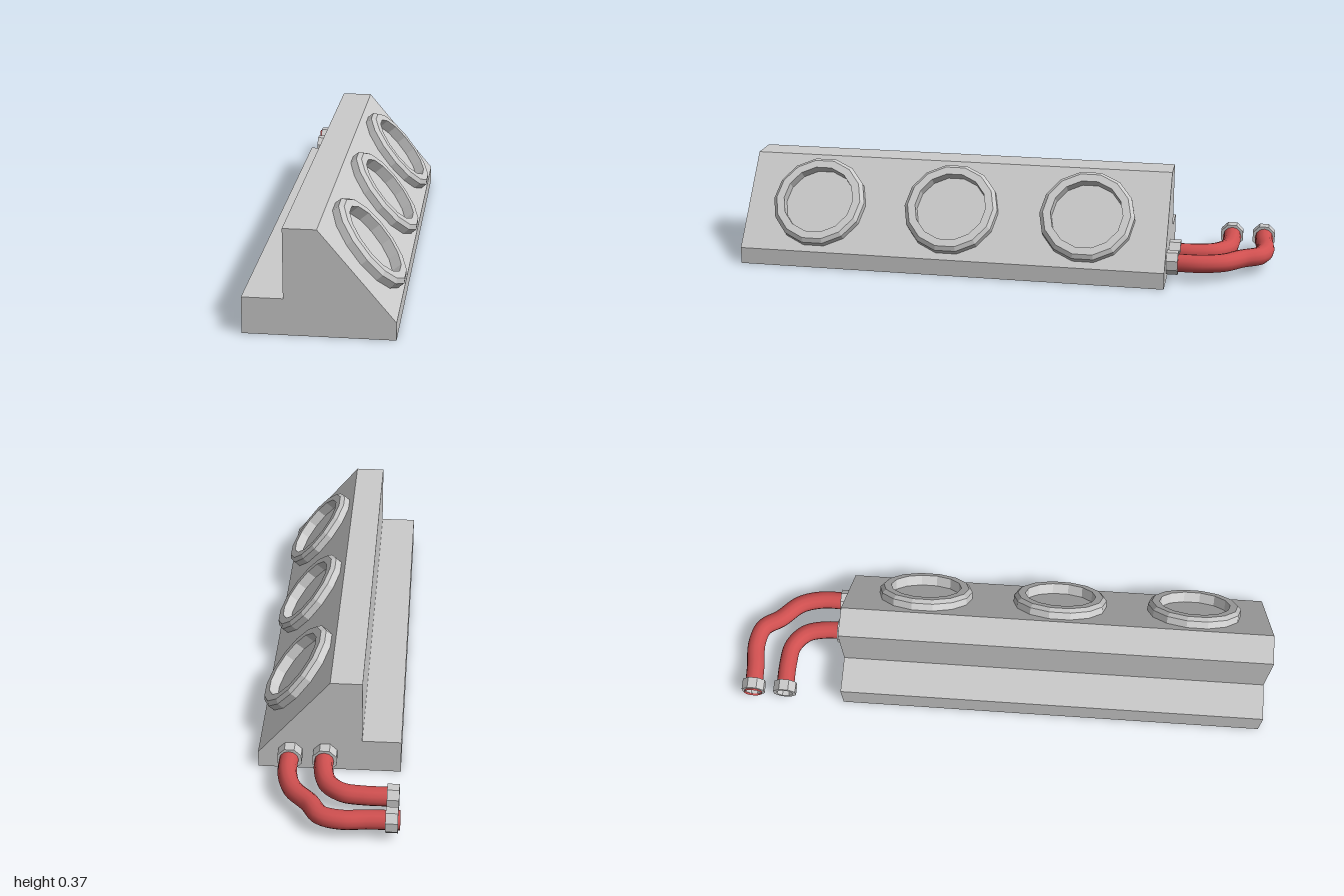
import * as THREE from 'three';

const grey = new THREE.MeshStandardMaterial({ color: 0xcccccc, flatShading: true });
const red = new THREE.MeshStandardMaterial({ color: 0xd05050, side: THREE.DoubleSide });
const v2 = (list) => list.map(([x, y]) => new THREE.Vector2(x, y));

function mesh(name, geometry, material) {
  const m = new THREE.Mesh(geometry, material);
  m.name = name;
  return m;
}

export function createModel() {
  const model = new THREE.Group();
  model.name = 'lampHousing';

  // Housing: stepped, sloped profile run along z
  const profile = new THREE.Shape(v2([
    [-0.253, 0], [0.255, 0], [0.255, 0.062], [-0.003, 0.371],
    [-0.115, 0.371], [-0.115, 0.128], [-0.253, 0.128],
  ]));
  const housing = new THREE.ExtrudeGeometry(profile, { depth: 1.612, bevelEnabled: false });
  housing.translate(0, 0, -0.612);
  model.add(mesh('housing', housing, grey));

  // Three chamfered rings standing on the slope
  const ring = new THREE.LatheGeometry(v2([
    [0.178, -0.002], [0.178, 0.027], [0.164, 0.04], [0.135, 0.04], [0.135, -0.002],
  ]), 14);
  const tilt = -Math.atan2(0.309, 0.258);
  [-0.312, 0.203, 0.717].forEach((z, i) => {
    const m = mesh('ring' + (i + 1), ring, grey);
    m.position.set(0.1265, 0.2155, z);
    m.rotation.z = tilt;
    model.add(m);
  });

  // Two bent hoses with a nut at each end
  const y = 0.067;
  const nut = new THREE.LatheGeometry(v2([
    [0.032, -0.021], [0.0455, -0.021], [0.0455, 0.021], [0.032, 0.021], [0.032, -0.021],
  ]), 8, Math.PI / 8);
  const hoses = {
    innerHose: [[0.015, -0.61], [0.015, -0.7], [-0.006, -0.778], [-0.06, -0.824],
      [-0.13, -0.835], [-0.254, -0.835]],
    outerHose: [[0.139, -0.61], [0.139, -0.73], [0.113, -0.815], [0.05, -0.885],
      [0.008, -0.947], [-0.063, -0.967], [-0.15, -0.96], [-0.262, -0.957]],
  };
  for (const [name, points] of Object.entries(hoses)) {
    const group = new THREE.Group();
    group.name = name;
    const path = new THREE.CatmullRomCurve3(points.map(([x, z]) => new THREE.Vector3(x, y, z)));
    group.add(mesh('hose', new THREE.TubeGeometry(path, 40, 0.034, 12), red));

    const wallNut = mesh('wallNut', nut, grey);
    wallNut.position.set(points[0][0], y, -0.633);
    wallNut.rotation.x = Math.PI / 2;
    const endNut = mesh('endNut', nut, grey);
    endNut.position.set(-0.234, y, points[points.length - 1][1]);
    endNut.rotation.z = Math.PI / 2;
    group.add(wallNut, endNut);
    model.add(group);
  }
  return model;
}
